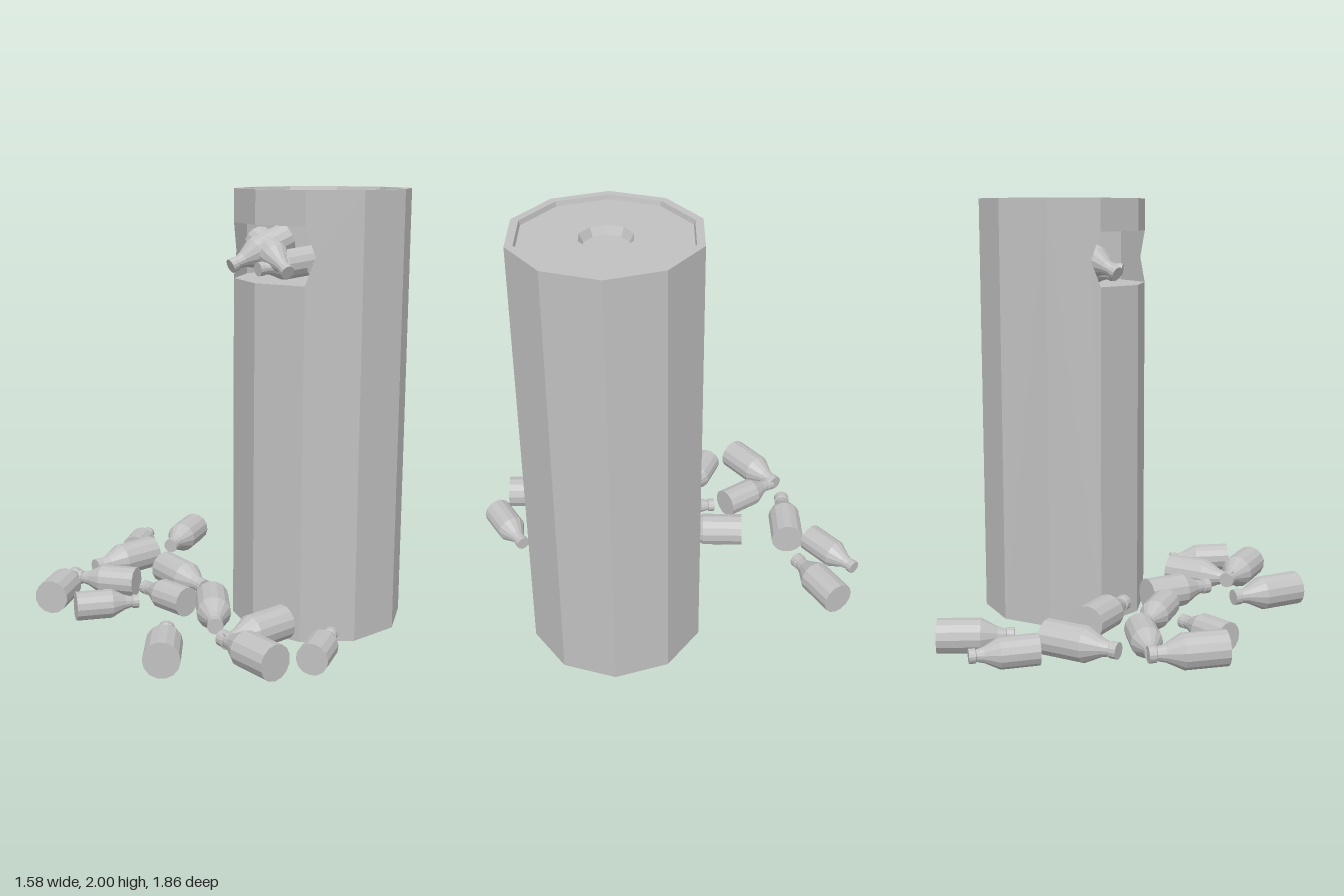
import * as THREE from 'three';

const grey = new THREE.MeshStandardMaterial({ color: 0xc0c0c0, flatShading: true, side: THREE.DoubleSide });
grey.name = 'concrete grey';

const R = 0.4, SIDES = 10, CX = 0.388, CZ = 0.235;
const HOLE_LOW = 1.6, HOLE_HIGH = 1.85;
const toVectors = (pts) => pts.map(([x, y]) => new THREE.Vector2(x, y));

function addMesh(parent, name, geometry) {
  const mesh = new THREE.Mesh(geometry, grey);
  mesh.name = name;
  parent.add(mesh);
  return mesh;
}

// Ten-sided column with a broken opening on its -x corner
function makeColumn() {
  const column = new THREE.Group();
  column.name = 'column';
  const half = R * Math.sin(Math.PI / SIDES);
  const apothem = R * Math.cos(Math.PI / SIDES);
  const rect = (y0, y1) => [[-half, y0], [half, y0], [half, y1], [-half, y1]];
  // panel with a pointed bite on one edge (s = -1 or 1)
  const bitten = (s) => [
    [-s * half, 0], [s * half, 0], [s * half, HOLE_LOW], [s * (half - 0.045), 1.72],
    [s * half, HOLE_HIGH], [s * half, 2], [-s * half, 2],
  ];
  for (let k = 0; k < SIDES; k++) {
    const a = ((k + 0.5) * 2 * Math.PI) / SIDES;
    let outlines = [rect(0, 2)];
    if (k === 4 || k === 5) outlines = [rect(0, HOLE_LOW), rect(HOLE_HIGH, 2)];
    if (k === 3) outlines = [bitten(-1)];
    if (k === 6) outlines = [bitten(1)];
    for (const o of outlines) {
      const panel = addMesh(column, 'wallPanel', new THREE.ShapeGeometry(new THREE.Shape(toVectors(o))));
      panel.rotation.y = Math.PI / 2 - a;
      panel.position.set(apothem * Math.cos(a), 0, apothem * Math.sin(a));
    }
  }
  // recessed lid with a stepped centre well
  const lid = [[R, 2], [0.365, 2], [0.36, 1.98], [0.113, 1.98], [0.095, 1.945], [0, 1.945]];
  addMesh(column, 'lid', new THREE.LatheGeometry(toVectors(lid), SIDES, Math.PI / 2));
  const base = addMesh(column, 'base', new THREE.CircleGeometry(R, SIDES));
  base.rotation.x = Math.PI / 2;
  // ledge inside the opening
  const ledge = addMesh(column, 'innerFloor', new THREE.CircleGeometry(R - 0.002, SIDES));
  ledge.rotation.x = -Math.PI / 2;
  ledge.position.y = HOLE_LOW;
  column.position.set(CX, 0, CZ);
  return column;
}

const BOTTLE_LENGTH = 0.345;
const bottleGeometry = new THREE.LatheGeometry(toVectors([
  [0, 0], [0.079, 0], [0.079, 0.195], [0.04, 0.27], [0.03, 0.308],
  [0.037, 0.312], [0.037, 0.345], [0, 0.345],
]), 14);

// Bottle running from the centre of its base to its tip, scaled to fit
function addBottle(parent, from, to) {
  const axis = to.clone().sub(from);
  const bottle = addMesh(parent, 'bottle', bottleGeometry);
  bottle.scale.setScalar(axis.length() / BOTTLE_LENGTH);
  bottle.position.copy(from);
  bottle.quaternion.setFromUnitVectors(new THREE.Vector3(0, 1, 0), axis.normalize());
}

export function createModel() {
  const model = new THREE.Group();
  model.name = 'columnWithBottles';
  model.add(makeColumn());

  // scattered bottles: base x, z then tip x, z
  const scattered = new THREE.Group();
  scattered.name = 'scatteredBottles';
  const spots = [
    [-0.01, -0.72, 0.215, -0.91], [0.447, -0.80, 0.16, -0.635], [0.02, -0.605, -0.325, -0.605],
    [-0.715, -0.375, -0.45, -0.585], [-0.283, -0.31, -0.46, -0.56], [-0.67, -0.235, -0.405, -0.12],
    [-0.25, 0.047, -0.28, -0.25], [-0.06, -0.38, -0.077, -0.04], [-0.135, 0.087, -0.333, 0.362],
    [-0.73, 0.51, -0.51, 0.245], [-0.386, 0.815, -0.386, 0.473], [-0.07, 0.51, -0.405, 0.51],
    [-0.235, 0.867, 0.02, 0.713],
  ];
  for (const [x0, z0, x1, z1] of spots) {
    const scale = Math.hypot(x1 - x0, z1 - z0) / BOTTLE_LENGTH;
    const y = 0.07 + 0.079 * scale;
    addBottle(scattered, new THREE.Vector3(x0, y, z0), new THREE.Vector3(x1, y - 0.005, z1));
  }
  model.add(scattered);

  // pile showing through the opening: base xyz then tip xyz
  const pile = new THREE.Group();
  pile.name = 'bottlePile';
  const heap = [
    [0.28, 1.78, 0.11, 0.005, 1.66, 0.05], [0.36, 1.68, 0.20, 0.07, 1.65, 0.16],
    [0.19, 1.77, 0.02, 0.14, 1.64, 0.28], [0.42, 1.69, 0.34, 0.16, 1.66, 0.42],
  ];
  for (const [a, b, c, d, e, f] of heap) {
    addBottle(pile, new THREE.Vector3(a, b, c), new THREE.Vector3(d, e, f));
  }
  model.add(pile);
  return model;
}
